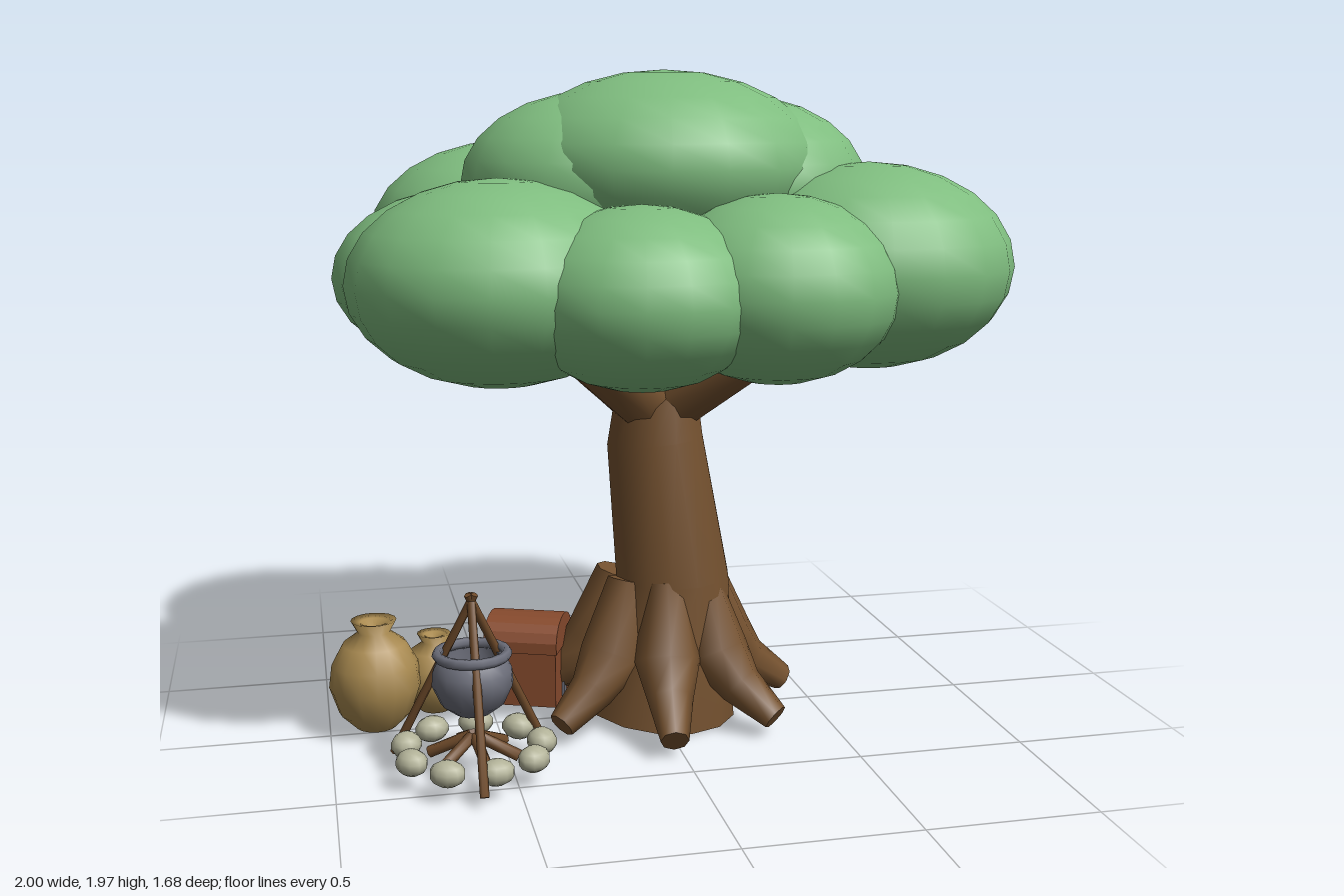
import * as THREE from 'three';

const mat = (name, color, side = THREE.FrontSide) => {
  const m = new THREE.MeshStandardMaterial({ color, side });
  m.name = name;
  return m;
};

export function createModel() {
  const root = new THREE.Group();
  root.name = 'treeCamp';
  const leaf = mat('leafGreen', 0x7fbd7f);
  const bark = mat('barkBrown', 0x74512f);
  const stick = mat('stickBrown', 0x6e4a2a);
  const chestWood = mat('chestRedBrown', 0x864a2d);
  const sack = mat('sackTan', 0xa98a50, THREE.DoubleSide);
  const iron = mat('ironGrey', 0x6c6e7a, THREE.DoubleSide);
  const stone = mat('stoneGrey', 0xb3b399);

  const V = (x, y, z) => new THREE.Vector3(x, y, z);
  const group = (name, parent = root) => {
    const g = new THREE.Group();
    g.name = name;
    parent.add(g);
    return g;
  };
  const add = (parent, name, geo, material, x = 0, y = 0, z = 0) => {
    const m = new THREE.Mesh(geo, material);
    m.name = name;
    m.position.set(x, y, z);
    parent.add(m);
    return m;
  };

  // Tapered, bent limb: rings of vertices square to the path, with flat end caps
  function limb(points, radii, sides) {
    const pos = [], idx = [];
    const ring = (i) => {
      const d = points[Math.min(i + 1, points.length - 1)].clone()
        .sub(points[Math.max(i - 1, 0)]).normalize();
      const u = V(0, 1, 0).cross(d);
      if (u.length() < 0.2) u.set(1, 0, 0).addScaledVector(d, -d.x);
      u.normalize();
      const w = d.clone().cross(u);
      for (let s = 0; s < sides; s++) {
        const a = (s / sides) * Math.PI * 2;
        const p = points[i].clone()
          .addScaledVector(u, Math.cos(a) * radii[i])
          .addScaledVector(w, Math.sin(a) * radii[i]);
        pos.push(p.x, p.y, p.z);
      }
    };
    points.forEach((_, i) => ring(i));
    for (let i = 0; i < points.length - 1; i++) {
      for (let s = 0; s < sides; s++) {
        const a = i * sides + s, b = i * sides + (s + 1) % sides;
        idx.push(a, b, b + sides, a, b + sides, a + sides);
      }
    }
    for (const [i, flip] of [[0, true], [points.length - 1, false]]) {
      const base = pos.length / 3;
      ring(i);
      for (let s = 1; s < sides - 1; s++) {
        idx.push(base, base + (flip ? s + 1 : s), base + (flip ? s : s + 1));
      }
    }
    const g = new THREE.BufferGeometry();
    g.setAttribute('position', new THREE.Float32BufferAttribute(pos, 3));
    g.setIndex(idx);
    g.computeVertexNormals();
    return g;
  }

  // Trunk, slightly bowed
  const tree = group('tree');
  add(tree, 'trunk', limb(
    [V(0.01, 0.025, 0), V(0.045, 0.45, 0.035), V(-0.005, 0.87, 0.015), V(0, 1.02, 0.015)],
    [0.24, 0.175, 0.148, 0.125], 14), bark);

  // Seven roots fanned around the base, thick at the knee and thin at the foot
  for (let i = 0; i < 7; i++) {
    const a = THREE.MathUtils.degToRad(-7 + i * 360 / 7);
    const at = (r, y) => V(0.015 + Math.sin(a) * r, y, 0.005 + Math.cos(a) * r);
    add(tree, 'root', limb([at(0.14, 0.45), at(0.2, 0.23), at(0.29, 0.135), at(0.41, 0.058)],
      [0.06, 0.1, 0.068, 0.042], 8), bark);
  }

  // Four branches reaching into the crown
  for (const sx of [-1, 1]) {
    for (const sz of [-1, 1]) {
      add(tree, 'branch', limb(
        [V(sx * 0.03, 0.99, 0.01 + sz * 0.03), V(sx * 0.19, 1.115, sz * 0.165), V(sx * 0.345, 1.235, sz * 0.295)],
        [0.1, 0.083, 0.062], 8), bark);
    }
  }

  // Crown: [x, y, z, horizontal radius, vertical radius]
  const crown = group('crown', tree);
  const ball = new THREE.SphereGeometry(1, 18, 12);
  [
    [-0.39, 1.47, -0.42, 0.425, 0.285], [0.47, 1.465, -0.40, 0.43, 0.285],
    [-0.51, 1.385, 0.31, 0.42, 0.285], [0.56, 1.41, 0.29, 0.42, 0.295],
    [-0.57, 1.37, -0.05, 0.38, 0.255], [0.62, 1.365, -0.06, 0.38, 0.255],
    [-0.15, 1.355, 0.5, 0.345, 0.25], [0.23, 1.37, 0.49, 0.345, 0.26],
    [0.02, 1.56, -0.375, 0.365, 0.26],
    [0.01, 1.69, 0.065, 0.46, 0.275], [-0.19, 1.64, 0.03, 0.39, 0.265], [0.235, 1.63, 0.025, 0.39, 0.265],
  ].forEach(([x, y, z, r, h]) => add(crown, 'leafClump', ball, leaf, x, y, z).scale.set(r, h, r));

  // Cooking fire
  const fire = group('campfire');
  fire.position.set(-0.61, 0, 0.37);
  for (let i = 0; i < 9; i++) {
    const a = (i + 0.3) / 9 * Math.PI * 2;
    const s = add(fire, 'hearthStone', new THREE.SphereGeometry(1, 10, 7), stone,
      Math.sin(a) * 0.195, 0.075, Math.cos(a) * 0.195);
    s.scale.set(0.052, 0.037, 0.044);
    s.rotation.y = a;
  }
  for (let i = 0; i < 6; i++) {
    const a = i / 6 * Math.PI * 2 + 0.2;
    add(fire, 'firewood', limb(
      [V(Math.sin(a) * 0.13, 0.055, Math.cos(a) * 0.13), V(Math.sin(a) * 0.01, 0.11, Math.cos(a) * 0.01)],
      [0.017, 0.017], 6), stick);
  }
  for (let i = 0; i < 3; i++) {
    const a = i / 3 * Math.PI * 2;
    add(fire, 'tripodLeg', limb(
      [V(Math.sin(a) * 0.25, 0.03, Math.cos(a) * 0.25), V(-Math.sin(a) * 0.01, 0.525, -Math.cos(a) * 0.01)],
      [0.013, 0.012], 6), stick);
  }

  // Lathe helper for turned shapes
  const lathe = (pts, n = 16) => new THREE.LatheGeometry(pts.map((p) => new THREE.Vector2(...p)), n);
  add(fire, 'pot', lathe([[0, 0.17], [0.05, 0.18], [0.09, 0.21], [0.115, 0.265], [0.112, 0.305],
    [0.095, 0.34], [0.08, 0.34], [0.095, 0.29], [0.07, 0.22], [0, 0.19]]), iron);
  const rim = add(fire, 'potRim', new THREE.TorusGeometry(0.098, 0.015, 6, 18), iron, 0, 0.352, 0);
  rim.rotation.x = Math.PI / 2;

  // Tied sacks
  const sackShape = lathe([[0, 0.005], [0.06, 0.02], [0.11, 0.07], [0.137, 0.15], [0.128, 0.22],
    [0.095, 0.28], [0.048, 0.315], [0.068, 0.352], [0.04, 0.345], [0, 0.32]]);
  add(root, 'largeSack', sackShape, sack, -0.863, 0, 0);
  add(root, 'smallSack', sackShape, sack, -0.68, 0.02, -0.065).scale.set(0.75, 0.73, 0.75);

  // Chest with a rounded lid, turned a little towards the fire
  const chest = group('chest');
  chest.position.set(-0.385, 0, -0.105);
  chest.rotation.y = THREE.MathUtils.degToRad(-22);
  add(chest, 'chestBody', new THREE.BoxGeometry(0.22, 0.17, 0.2), chestWood, 0, 0.125, 0);
  const lidShape = new THREE.Shape();
  lidShape.moveTo(-0.107, 0);
  lidShape.lineTo(0.107, 0);
  lidShape.lineTo(0.107, 0.035);
  lidShape.bezierCurveTo(0.09, 0.122, -0.09, 0.122, -0.107, 0.035);
  const lidGeo = new THREE.ExtrudeGeometry(lidShape, { depth: 0.23, bevelEnabled: false, curveSegments: 8 });
  lidGeo.translate(0, 0, -0.115).rotateY(Math.PI / 2);
  add(chest, 'chestLid', lidGeo, chestWood, 0, 0.21, 0);
  for (const s of [-1, 1]) {
    add(chest, 'chestStrap', new THREE.BoxGeometry(0.009, 0.17, 0.025), iron, s * 0.114, 0.125, 0);
  }
  return root;
}
